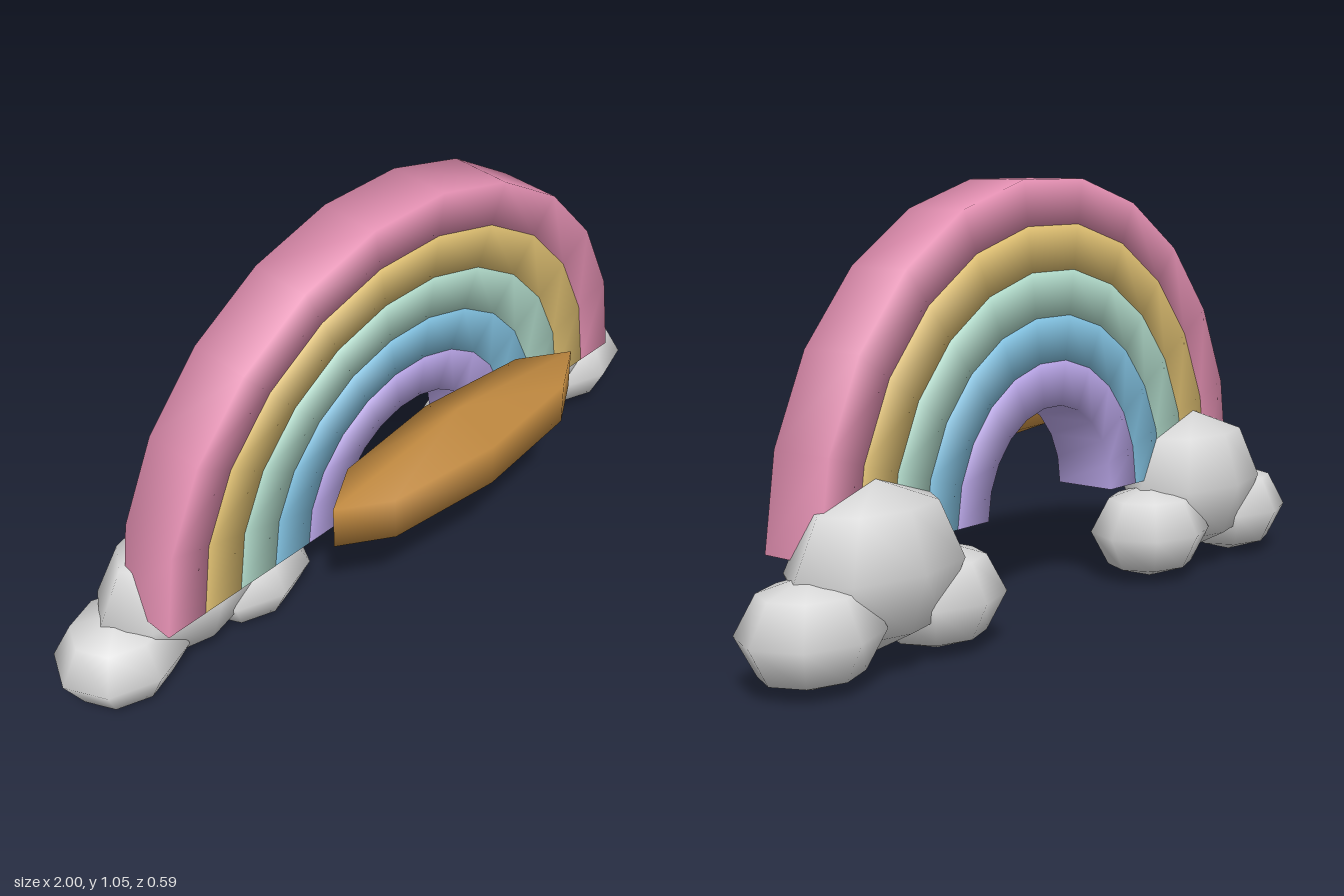
import * as THREE from 'three';
import { mergeVertices } from 'three/addons/utils/BufferGeometryUtils.js';

const mat = (name, color) => Object.assign(new THREE.MeshStandardMaterial({ color }), { name });

const BANDS = [
  ['pink', 0xe18eb0], ['yellow', 0xdcbd70], ['mint', 0xafd8c8],
  ['blue', 0x80bfde], ['purple', 0xb3a0e0],
];
const OUTER = 0.8, STEP = 0.111, FRONT = 0.018, BACK = -0.146, BASE = 0.265;

// Half ring of rectangular section with softened normals
function archGeometry(outer, inner) {
  const profile = [[outer, -FRONT], [outer, -BACK], [inner, -BACK], [inner, -FRONT], [outer, -FRONT]]
    .map(([x, y]) => new THREE.Vector2(x, y));
  let geo = new THREE.LatheGeometry(profile, 11, -Math.PI / 2, Math.PI);
  geo.rotateX(-Math.PI / 2);
  geo.deleteAttribute('normal');
  geo.deleteAttribute('uv');
  geo = mergeVertices(geo, 1e-4);
  geo.computeVertexNormals();
  return geo;
}

// Low-poly ellipsoid
function ellipsoid(name, material, pos, size, rows) {
  const geo = new THREE.SphereGeometry(1, 8, rows);
  geo.scale(...size);
  const mesh = new THREE.Mesh(geo, material);
  mesh.name = name;
  mesh.position.set(...pos);
  return mesh;
}

export function createModel() {
  const model = new THREE.Group();
  model.name = 'rainbowWithClouds';

  // Rainbow: five nested bands with flat feet
  const rainbow = new THREE.Group();
  rainbow.name = 'rainbow';
  BANDS.forEach(([name, color], i) => {
    const material = mat(name, color);
    const outer = OUTER - i * STEP, inner = outer - STEP;
    const band = new THREE.Group();
    band.name = name + 'Band';
    const arch = new THREE.Mesh(archGeometry(outer, inner), material);
    arch.name = name + 'Arch';
    band.add(arch);
    for (const side of [-1, 1]) {
      const foot = new THREE.Mesh(new THREE.PlaneGeometry(STEP, FRONT - BACK), material);
      foot.name = name + 'Foot';
      foot.rotation.x = Math.PI / 2;
      foot.position.set(side * (outer + inner) / 2, 0, (FRONT + BACK) / 2);
      band.add(foot);
    }
    rainbow.add(band);
  });
  rainbow.position.y = BASE;
  model.add(rainbow);

  // Clouds at both feet
  const white = mat('cloudWhite', 0xd9d9d9);
  for (const side of [-1, 1]) {
    const cloud = new THREE.Group();
    cloud.name = side > 0 ? 'leftCloud' : 'rightCloud';
    cloud.add(
      ellipsoid('middlePuff', white, [side * 0.627, 0.235, -0.145], [0.25, 0.19, 0.147], 4),
      ellipsoid('innerPuff', white, [side * 0.428, 0.13, -0.145], [0.175, 0.125, 0.147], 4),
      ellipsoid('outerPuff', white, [side * 0.825, 0.13, -0.145], [0.175, 0.125, 0.147], 4),
    );
    model.add(cloud);
  }

  // Long faceted spindle floating in front
  model.add(ellipsoid('spindle', mat('amberBrown', 0xc08940),
    [0, 0.463, 0.182], [0.49, 0.113, 0.13], 3));

  return model;
}
